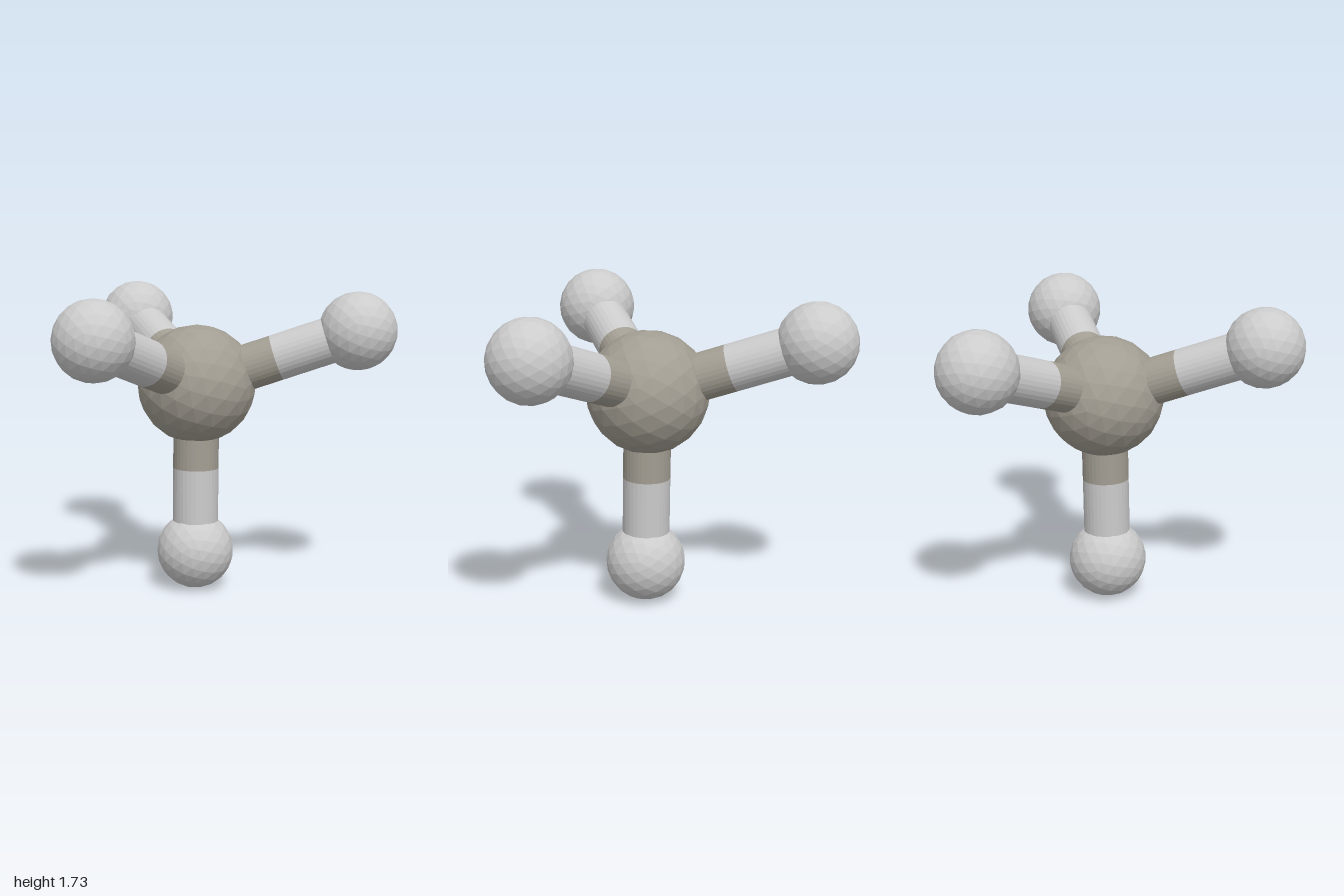
import * as THREE from 'three';

const UP = new THREE.Vector3(0, 1, 0);

export function createModel() {
  const model = new THREE.Group();
  const dark = new THREE.MeshStandardMaterial({ color: 0xa39e93, flatShading: true });
  const light = new THREE.MeshStandardMaterial({ color: 0xcccccc, flatShading: true });

  // Faceted ball with an icosahedron corner pointing up
  function ball(name, center, radius, material) {
    const geometry = new THREE.IcosahedronGeometry(radius, 3);
    geometry.rotateX(-Math.atan2(1, (1 + Math.sqrt(5)) / 2));
    geometry.rotateZ(0);
    const corner = new THREE.Mesh(geometry, material);
    corner.name = name;
    corner.position.copy(center);
    model.add(corner);
  }

  // Round rod between two points
  function rod(name, from, to, radius, material) {
    const span = to.clone().sub(from);
    const mesh = new THREE.Mesh(new THREE.CylinderGeometry(radius, radius, span.length(), 32), material);
    mesh.name = name;
    mesh.position.copy(from).addScaledVector(span, 0.5);
    mesh.quaternion.setFromUnitVectors(UP, span.normalize());
    model.add(mesh);
  }

  // Central atom
  const center = new THREE.Vector3(0.215, 1.185, 0.005);
  ball('centralAtom', center, 0.337, dark);

  // Four outer atoms, each joined by a two-tone bond
  const outer = {
    bottom: [0.2, 0.22, 0.01],
    right: [-0.685, 1.51, 0.01],
    front: [0.675, 1.497, 0.78],
    back: [0.66, 1.487, -0.782],
  };
  for (const [side, position] of Object.entries(outer)) {
    const end = new THREE.Vector3(...position);
    const middle = center.clone().lerp(end, 0.5);
    ball(side + 'Atom', end, 0.22, light);
    rod(side + 'BondInner', center, middle, 0.13, dark);
    rod(side + 'BondOuter', middle, end, 0.13, light);
  }
  return model;
}
